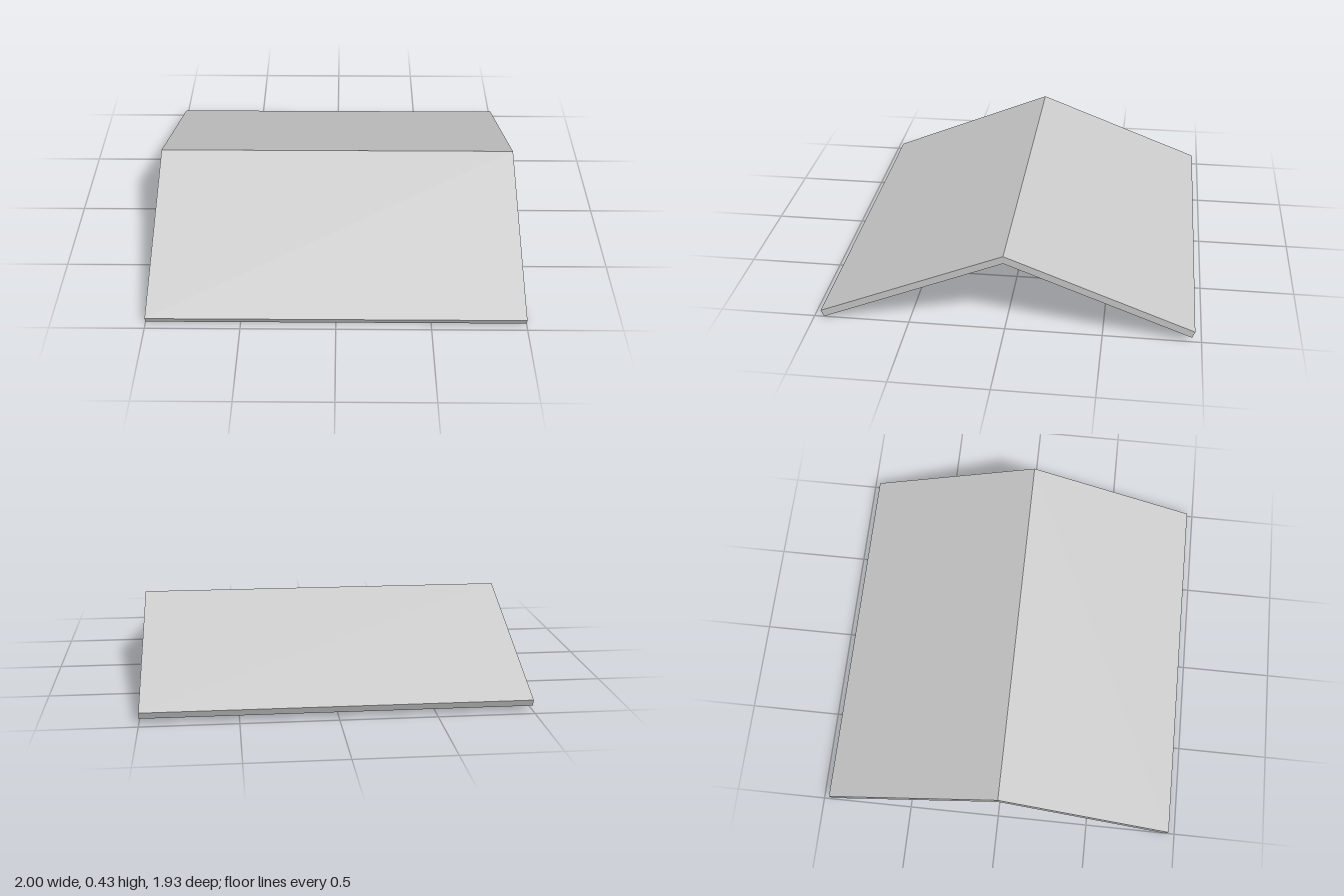
import * as THREE from 'three';

const WIDTH = 2;

export function createModel() {
  const group = new THREE.Group();
  group.name = 'gableRoof';

  // Side profile of the two sloping panels, as [z, y], mitred at the ridge
  const profile = [
    [0.965, 0.036], [0.004, 0.433], [-0.965, 0.06],
    [-0.951, 0.025], [0.004, 0.392], [0.95, 0],
  ];
  const shape = new THREE.Shape(profile.map(([z, y]) => new THREE.Vector2(-z, y)));

  // Extrude along the ridge, then turn so the ridge runs along x
  const geometry = new THREE.ExtrudeGeometry(shape, { depth: WIDTH, bevelEnabled: false });
  geometry.translate(0, 0, -WIDTH / 2);
  geometry.rotateY(Math.PI / 2);

  const material = new THREE.MeshStandardMaterial({ color: 0xcccccc, flatShading: true });
  const roof = new THREE.Mesh(geometry, material);
  roof.name = 'roofPanels';
  group.add(roof);
  return group;
}
